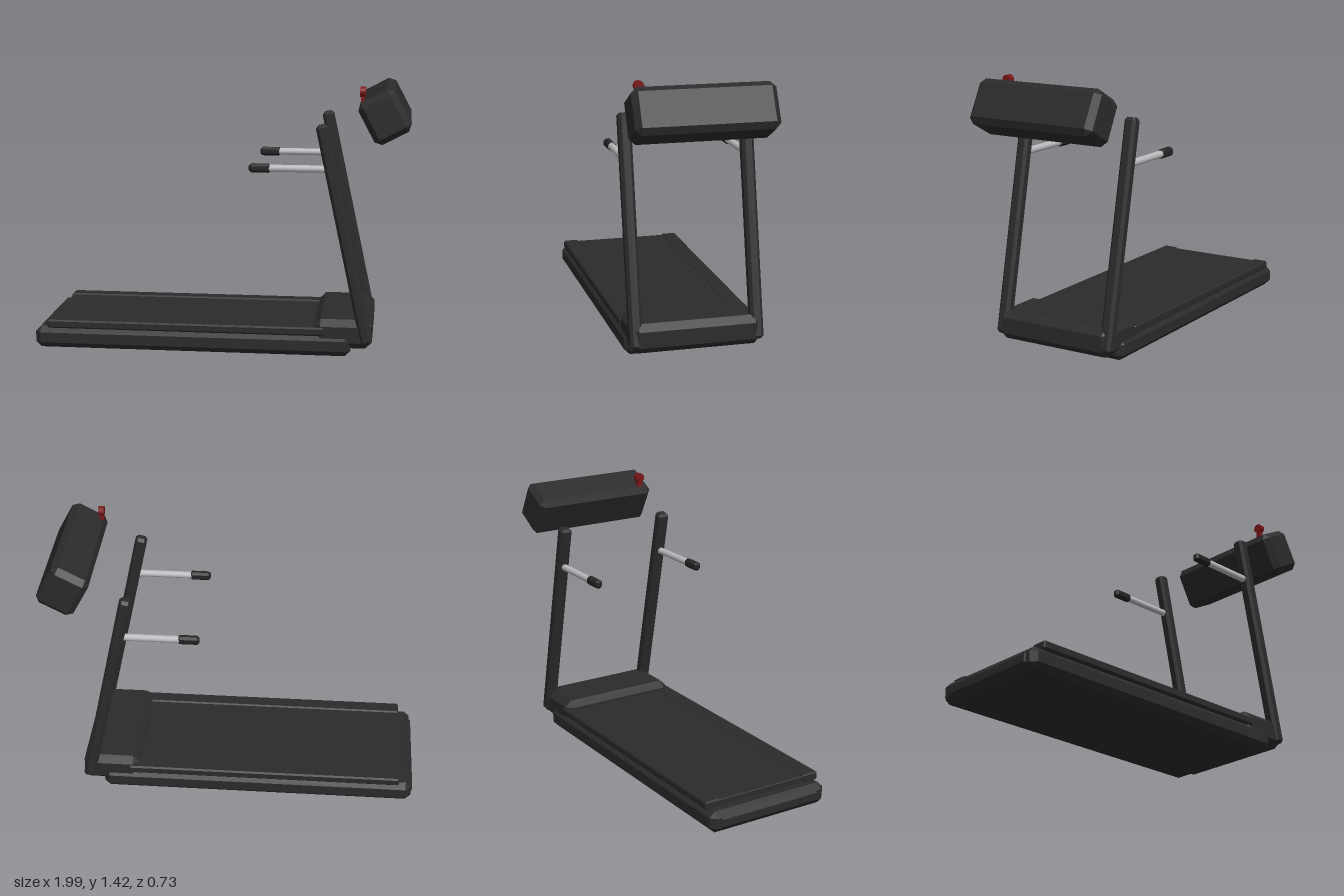
import * as THREE from 'three';
import { ConvexGeometry } from 'three/addons/geometries/ConvexGeometry.js';

const material = (name, color) => Object.assign(new THREE.MeshStandardMaterial({ color }), { name });

// Box with every edge and corner cut at 45 degrees
function chamferBox(w, h, d, b) {
  const points = [];
  for (const sx of [-1, 1]) for (const sy of [-1, 1]) for (const sz of [-1, 1]) {
    const x = w / 2, y = h / 2, z = d / 2;
    points.push(
      new THREE.Vector3(sx * x, sy * (y - b), sz * (z - b)),
      new THREE.Vector3(sx * (x - b), sy * y, sz * (z - b)),
      new THREE.Vector3(sx * (x - b), sy * (y - b), sz * z));
  }
  return new ConvexGeometry(points);
}

export function createModel() {
  const model = new THREE.Group();
  model.name = 'treadmill';
  const frame = material('charcoal', 0x2b2b2b);
  const grip = material('gripBlack', 0x242424);
  const metal = material('polishedMetal', 0xb8babc);
  const red = material('safetyRed', 0x7a1618);

  function add(name, geometry, mat, x, y, z, rotZ = 0) {
    const mesh = new THREE.Mesh(geometry, mat);
    mesh.name = name;
    mesh.position.set(x, y, z);
    mesh.rotation.z = rotZ;
    model.add(mesh);
    return mesh;
  }
  // Chamfered box given by its x and y limits and its depth
  const block = (name, x0, x1, y0, y1, depth, b, z = 0) =>
    add(name, chamferBox(x1 - x0, y1 - y0, depth, b), frame, (x0 + x1) / 2, (y0 + y1) / 2, z);

  // Running deck, rear roller cover and belt
  block('deck', -0.992, 0.7, 0.005, 0.12, 0.705, 0.03);
  block('rearCover', -1, -0.92, 0.012, 0.112, 0.64, 0.03);
  block('belt', -0.92, 0.56, 0.1, 0.153, 0.54, 0.004);

  // Motor hood at the front end of the deck
  block('motorHood', 0.505, 0.812, 0.045, 0.2, 0.68, 0.035);

  for (const side of [-1, 1]) {
    const prefix = side > 0 ? 'left' : 'right';
    const z = side * 0.317;

    // Foot rail beside the belt
    block(prefix + 'FootRail', -0.925, 0.56, 0.115, 0.16, 0.088, 0.008, side * 0.306);

    // Leaning upright
    const lean = Math.atan2(0.248, 1.15);
    add(prefix + 'Upright', chamferBox(0.064, 1.185, 0.066, 0.015), frame, 0.66, 0.652, z, lean);

    // Handle tube and grip
    const tube = new THREE.CylinderGeometry(0.019, 0.019, 0.32, 16);
    add(prefix + 'HandleBar', tube, metal, 0.41, 1.0, z, Math.PI / 2);
    add(prefix + 'HandleGrip', chamferBox(0.115, 0.046, 0.042, 0.012), grip, 0.217, 1.0, z);
  }

  // Tilted console box
  add('console', chamferBox(0.212, 0.242, 0.725, 0.03), frame, 0.858, 1.275, 0, 0.49);

  // Safety key: short stem and round head
  add('safetyKeyStem', new THREE.BoxGeometry(0.022, 0.05, 0.026), red, 0.744, 1.372, 0.29);
  add('safetyKeyHead', new THREE.CylinderGeometry(0.026, 0.026, 0.03, 12), red, 0.744, 1.4, 0.29, Math.PI / 2);

  return model;
}
